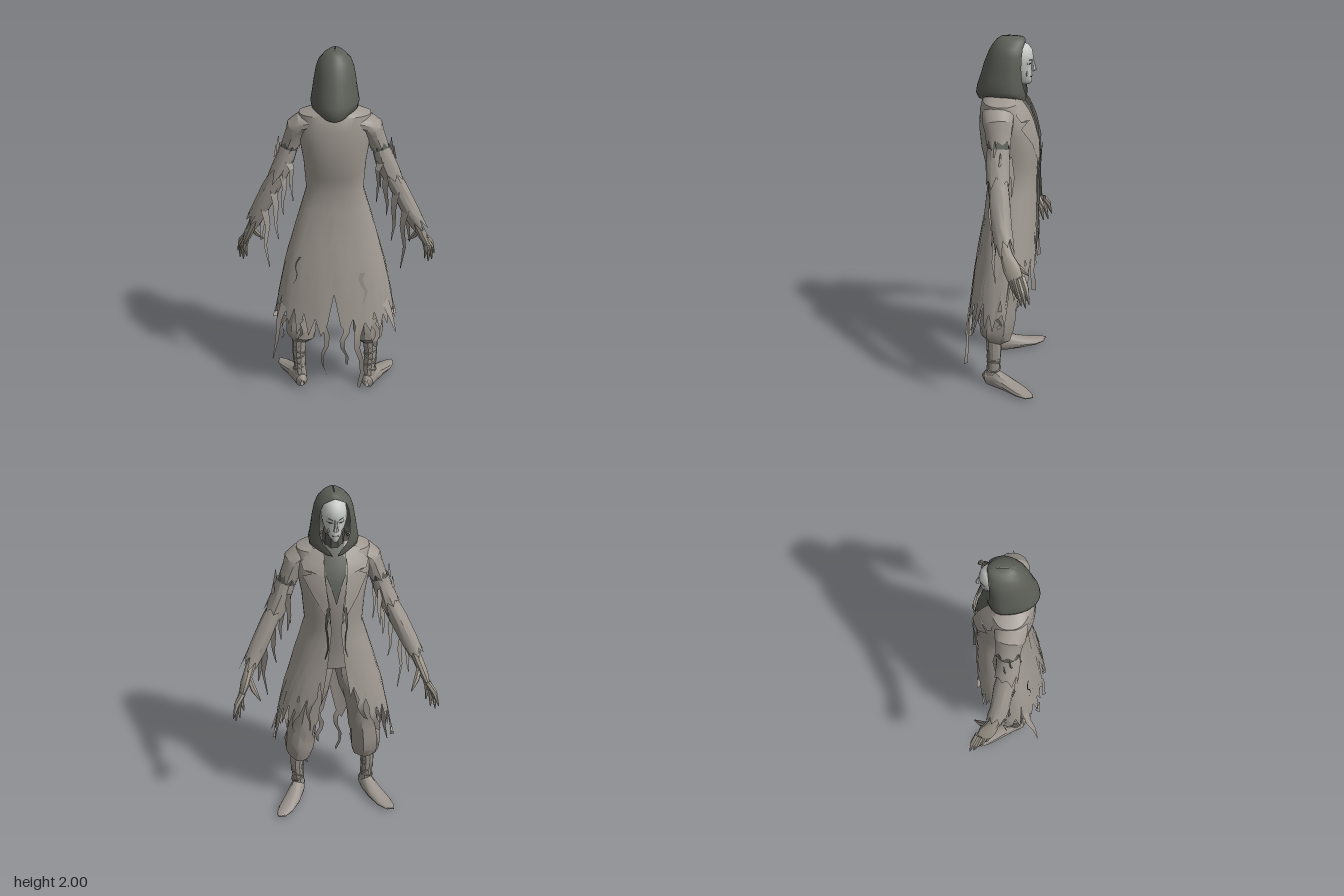
import * as THREE from 'three';
import { toCreasedNormals } from 'three/addons/utils/BufferGeometryUtils.js';

const V = (x, y, z) => new THREE.Vector3(x, y, z);
const lerp = THREE.MathUtils.lerp;

export function createModel() {
  const model = new THREE.Group();
  let seed = 11;
  const rand = () => (seed = (seed * 16807) % 2147483647) / 2147483647;

  const mat = (name, color) => {
    const m = new THREE.MeshStandardMaterial({ color, side: THREE.DoubleSide });
    m.name = name;
    return m;
  };
  const coatCloth = mat('coat cloth', 0x9f9891);
  const trouserCloth = mat('trouser cloth', 0x99928b);
  const skin = mat('weathered skin', 0x9d968b);
  const hoodCloth = mat('hood cloth', 0x5c5e57);
  const mask = mat('pale face', 0xc6c9c5);
  const maskShade = mat('grey face paint', 0x9da09d);
  const dark = mat('dark lining', 0x4a4a45);
  const shirtCloth = mat('shirt cloth', 0x8f8983);

  const add = (name, geo, material, parent = model) => {
    const m = new THREE.Mesh(geo, material);
    m.name = name;
    parent.add(m);
    return m;
  };

  // Skin a grid of points: rows of equal length, optionally closed round
  function grid(rows, closed = false, crease = 0.5) {
    const n = rows[0].length, idx = [];
    for (let j = 0; j < rows.length - 1; j++)
      for (let i = 0; i < (closed ? n : n - 1); i++) {
        const a = j * n + i, b = j * n + (i + 1) % n;
        idx.push(a, b, a + n, b, b + n, a + n);
      }
    const g = new THREE.BufferGeometry().setFromPoints(rows.flat());
    g.setIndex(idx);
    return toCreasedNormals(g, crease);
  }

  // Tube through stations [x, y, z, radiusA, radiusB]; ragged = torn end, folds = uneven cloth
  function limb(st, { sides = 10, ref = V(0, 0, 1), ragged = 0, folds = 0 } = {}) {
    const rows = st.map((s, j) => {
      const p = st[Math.max(j - 1, 0)], q = st[Math.min(j + 1, st.length - 1)];
      const t = V(q[0] - p[0], q[1] - p[1], q[2] - p[2]).normalize();
      const u = ref.clone().cross(t).normalize(), v = t.clone().cross(u);
      return Array.from({ length: sides }, (_, i) => {
        const a = i / sides * Math.PI * 2, k = 1 + folds * (rand() - 0.5);
        const pt = V(s[0], s[1], s[2]).addScaledVector(u, s[3] * k * Math.cos(a)).addScaledVector(v, s[4] * k * Math.sin(a));
        if (ragged && j === st.length - 1) pt.addScaledVector(t, ragged * (i % 2 ? rand() : -0.5 * rand()));
        pt.y = Math.max(pt.y, 0);
        return pt;
      });
    });
    return grid(rows, true);
  }

  // Free-hanging ribbon that tapers to a point
  function ribbon(pts, w, dir = V(0.8, 0, 0.6)) {
    return grid(pts.map((p, k) => {
      const h = w * (1 - 0.9 * k / (pts.length - 1));
      return [-h, h].map(s => V(...p).addScaledVector(dir, s));
    }));
  }

  // Coat section by height: y, half width, back z, front depth, front opening
  const PROFILE = [
    [1.71, 0.09, 0.09, 0.06, 0.05], [1.67, 0.19, 0.115, 0.1, 0.055], [1.6, 0.2, 0.13, 0.14, 0.055],
    [1.5, 0.185, 0.133, 0.178, 0.05], [1.4, 0.168, 0.124, 0.188, 0.035], [1.235, 0.155, 0.085, 0.178, 0.025],
    [1, 0.222, 0.11, 0.185, 0.05], [0.8, 0.278, 0.145, 0.195, 0.08], [0.6, 0.318, 0.175, 0.198, 0.1],
    [0.4, 0.345, 0.2, 0.195, 0.12], [0, 0.37, 0.225, 0.19, 0.12]];
  function section(y) {
    let i = 0;
    while (i < PROFILE.length - 2 && y < PROFILE[i + 1][0]) i++;
    const a = PROFILE[i], b = PROFILE[i + 1], t = (y - a[0]) / (b[0] - a[0]);
    return a.map((v, k) => lerp(v, b[k], t));
  }
  // Angle 0 is the middle of the back, PI the middle of the front
  function onCoat(th, y, off = 0) {
    const [, w, zb, zf] = section(y), c = Math.cos(th), e = Math.pow(Math.abs(c), 0.8);
    return V((w + off) * Math.sin(th), y, c > 0 ? (zb + off) * e : -(zf + off) * e);
  }
  const edge = y => { const s = section(y); return Math.PI - Math.asin(s[4] / s[1]); };

  // Long coat with split back and torn hem that rises towards the front
  const N = 52, waist = 1.235;
  const hem = Array.from({ length: N + 1 }, (_, i) => {
    const d = Math.abs(i - N / 2), f = d / (N / 2);
    if (d < 3) return [0.66, 0.48, 0.41][d];
    const base = f < 0.3 ? 0.46 : f < 0.62 ? 0.49 : lerp(0.57, 0.84, (f - 0.62) / 0.38);
    return base + (i % 2 ? 0.09 : -0.07) * (0.3 + rand());
  });
  const coatRows = [1.71, 1.67, 1.6, 1.5, 1.4, 1.32].map(y => hem.map((_, i) => onCoat((i / N * 2 - 1) * edge(y), y)));
  for (let k = 0; k <= 7; k++)
    coatRows.push(hem.map((h, i) => {
      const y = lerp(waist, h, k / 7);
      return onCoat((i / N * 2 - 1) * edge(y), y, k > 1 ? 0.004 * (rand() - 0.5) : 0);
    }));
  add('coat', grid(coatRows), coatCloth);

  // Torn strips that follow the coat surface, twisting towards the tip
  const strip = (th, y0, y1, w, off = 0.005, twist = 0) => grid(Array.from({ length: 6 }, (_, k) => {
    const y = lerp(y0, y1, k / 5), h = w * (1 - 0.16 * k) / section(y)[1], c = th + 0.05 * Math.sin(k * 1.6 + th * 5);
    return [onCoat(c - h, y, off - twist * k / 5), onCoat(c + h, y, off + twist * k / 5)];
  }));
  [[-1.0, 0.5, 0.36, 0.025], [-0.15, 0.48, 0.17, 0.018], [0.17, 0.48, 0.24, 0.02], [0.42, 0.5, 0.09, 0.024],
    [0.75, 0.5, 0.33, 0.022], [-0.6, 0.5, 0.36, 0.025], [2.3, 0.78, 0.58, 0.032], [-2.35, 0.78, 0.56, 0.032],
    [2.62, 0.88, 0.6, 0.028], [-2.62, 0.88, 0.66, 0.028], [-1.6, 0.55, 0.42, 0.025], [1.6, 0.55, 0.45, 0.025]]
    .forEach(s => add('coatTatter', strip(...s, 0, 0.012), coatCloth));
  // Side tails swinging clear of the hem
  add('coatTail', ribbon([[-0.275, 0.58, 0.095], [-0.31, 0.47, 0.12], [-0.322, 0.36, 0.155], [-0.345, 0.25, 0.175]], 0.026), coatCloth);
  add('coatTail', ribbon([[0.275, 0.6, 0.09], [0.305, 0.53, 0.105], [0.325, 0.47, 0.115], [0.345, 0.41, 0.13]], 0.028, V(0.8, 0, -0.6)), coatCloth);

  // Rips in the skirt of the coat
  add('coatRip', strip(-0.82, 0.86, 0.7, 0.009), dark);
  add('coatRip', strip(0.56, 0.78, 0.6, 0.017), shirtCloth);

  // Shirt, seen through the open front
  add('shirt', grid([1.7, 1.66, 1.6, 1.5, 1.4, 1.24, 1.1, 0.98].map(y => Array.from({ length: 24 }, (_, i) =>
    onCoat(i / 12 * Math.PI, y, y > 1.2 ? -0.015 : -0.05))), true), shirtCloth);
  // Scarf tapering down the chest
  add('scarf', grid([[1.7, 0.9], [1.6, 0.36], [1.52, 0.18], [1.45, 0.07], [1.41, 0.01]].map(([y, w]) =>
    [-1, -0.5, 0, 0.5, 1].map(f => onCoat(Math.PI + f * w, y, -0.006)))), hoodCloth);

  for (const s of [1, -1]) {
    const side = new THREE.Group();
    side.name = s > 0 ? 'leftSide' : 'rightSide';
    side.scale.x = s;
    model.add(side);

    // Notched lapel and a loose strip from it
    add('lapel', grid([[1.69, 0.45], [1.62, 0.72], [1.585, 0.62], [1.575, 0.36], [1.55, 0.7], [1.45, 0.42], [1.3, 0.02]]
      .map(([y, w]) => [0, 0.5, 1].map(f => onCoat(edge(y) - f * w, y, 0.012)))), coatCloth, side);
    add('lapelTatter', strip(2.86, 1.4, 1.08, 0.009, 0.014, 0.008), hoodCloth, side);

    // Arm and torn sleeve layers
    add('arm', limb([[0.195, 1.58, 0.01, 0.045, 0.06], [0.232, 1.5, 0, 0.043, 0.055], [0.272, 1.38, 0, 0.044, 0.052],
      [0.33, 1.26, -0.01, 0.043, 0.048], [0.4, 1.11, -0.035, 0.04, 0.044], [0.45, 1, -0.06, 0.03, 0.032]]), skin, side);
    add('sleeveLining', limb([[0.222, 1.53, 0.002, 0.046, 0.058], [0.25, 1.45, 0, 0.046, 0.057]]), hoodCloth, side);
    add('shoulderSleeve', limb([[0.11, 1.625, 0.015, 0.045, 0.085], [0.172, 1.612, 0.012, 0.056, 0.084],
      [0.2, 1.585, 0.008, 0.06, 0.08], [0.212, 1.55, 0.004, 0.052, 0.072], [0.234, 1.49, 0, 0.05, 0.063]],
      { sides: 14, ragged: 0.04 }), coatCloth, side);
    add('upperSleeve', limb([[0.247, 1.47, 0, 0.05, 0.06], [0.268, 1.4, 0, 0.053, 0.063], [0.305, 1.31, -0.005, 0.054, 0.062]],
      { sides: 14, ragged: 0.07, folds: 0.12 }), coatCloth, side);
    add('forearmSleeve', limb([[0.3, 1.32, -0.005, 0.045, 0.05], [0.35, 1.22, -0.02, 0.047, 0.054], [0.41, 1.09, -0.04, 0.046, 0.052],
      [0.45, 1.01, -0.06, 0.044, 0.05]], { sides: 14, ragged: 0.08, folds: 0.12 }), coatCloth, side);
    [[[0.25, 1.42, 0.045], [0.23, 1.36, 0.06], [0.235, 1.28, 0.05], [0.225, 1.17, 0.05]],
      [[0.28, 1.34, 0.03], [0.27, 1.25, 0.04], [0.285, 1.15, 0.03], [0.28, 1.08, 0.03]],
      [[0.33, 1.22, 0.02], [0.32, 1.12, 0.03], [0.325, 1.02, 0.02], [0.31, 0.93, 0.03]],
      [[0.385, 1.1, 0], [0.37, 1, 0], [0.385, 0.88, 0.01], [0.365, 0.74, 0]],
      [[0.41, 1.06, -0.06], [0.405, 0.97, -0.07], [0.415, 0.88, -0.06]],
      [[0.27, 1.44, 0.02], [0.305, 1.445, 0.01], [0.3, 1.53, 0.01]],
      [[0.285, 1.4, -0.02], [0.32, 1.4, -0.02], [0.315, 1.47, -0.02]],
      [[0.25, 1.42, -0.055], [0.24, 1.3, -0.075], [0.25, 1.2, -0.07]]]
      .forEach(p => add('sleeveTatter', ribbon(p, 0.024), coatCloth, side));

    // Hand with bent, bony fingers
    add('palm', limb([[0.445, 1.01, -0.058, 0.028, 0.03], [0.465, 0.96, -0.075, 0.027, 0.035],
      [0.49, 0.9, -0.105, 0.025, 0.048], [0.508, 0.855, -0.125, 0.016, 0.042]]), skin, side);
    [[[0.505, 0.87, -0.16], [0.54, 0.82, -0.185], [0.565, 0.74, -0.205]],
      [[0.51, 0.86, -0.14], [0.542, 0.8, -0.165], [0.55, 0.71, -0.185]],
      [[0.508, 0.86, -0.118], [0.53, 0.8, -0.14], [0.528, 0.71, -0.16]],
      [[0.5, 0.87, -0.098], [0.515, 0.81, -0.115], [0.505, 0.74, -0.135]],
      [[0.47, 0.94, -0.1], [0.445, 0.88, -0.145], [0.412, 0.83, -0.182]]]
      .forEach(([a, b, c]) => add('finger', limb([[...a, 0.016, 0.016], [...b, 0.016, 0.016], [...c, 0.003, 0.003]], { sides: 6 }), skin, side));

    // Baggy trouser leg gathered at the shin
    add('trouserLeg', limb([[0.06, 1.08, -0.02, 0.07, 0.09], [0.095, 0.95, -0.025, 0.095, 0.11], [0.125, 0.82, -0.025, 0.095, 0.108],
      [0.15, 0.7, -0.02, 0.088, 0.1], [0.165, 0.6, -0.01, 0.08, 0.092], [0.178, 0.52, 0, 0.082, 0.094], [0.186, 0.45, 0.008, 0.086, 0.098],
      [0.188, 0.38, 0.015, 0.088, 0.103], [0.195, 0.32, 0.025, 0.074, 0.084], [0.2, 0.29, 0.033, 0.042, 0.046]],
      { sides: 14, folds: 0.2 }), trouserCloth, side);

    // Bound shin
    add('shin', limb([[0.2, 0.34, 0.035, 0.044, 0.046], [0.207, 0.22, 0.032, 0.037, 0.041], [0.2, 0.12, 0.038, 0.033, 0.037],
      [0.197, 0.05, 0.045, 0.036, 0.042]]), trouserCloth, side);
    for (let k = 0; k < 5; k++) {
      const wrap = add('shinWrap', new THREE.TorusGeometry(0.037, 0.005, 5, 14), trouserCloth, side);
      wrap.position.set(0.204, 0.12 + k * 0.037, 0.035);
      wrap.rotation.set(Math.PI / 2, k % 2 ? 0.4 : -0.4, 0);
    }
    // Pointed shoe turned outward
    add('shoe', limb([[0.184, 0.035, 0.093, 0.012, 0.025], [0.19, 0.045, 0.075, 0.034, 0.045], [0.207, 0.05, 0.02, 0.042, 0.055],
      [0.243, 0.034, -0.06, 0.048, 0.035], [0.285, 0.022, -0.13, 0.046, 0.022], [0.318, 0.018, -0.18, 0.03, 0.012],
      [0.335, 0.024, -0.204, 0.003, 0.003]], { sides: 12, ref: V(0, 1, 0) }), trouserCloth, side);

    // Eye, its grey socket, brow and hollow cheek: thin plates lying on the face
    for (const [name, m, x, y, z, a, b, tilt] of [
      ['eyeSocket', maskShade, 0.029, 1.864, -0.13, 0.018, 0.01, 0.1], ['eye', dark, 0.028, 1.862, -0.132, 0.012, 0.004, 0.1],
      ['brow', hoodCloth, 0.028, 1.882, -0.137, 0.016, 0.003, 0.25], ['cheekHollow', maskShade, 0.033, 1.815, -0.121, 0.006, 0.022, 0.35]]) {
      const plate = add(name, new THREE.SphereGeometry(1, 10, 6), m, side);
      plate.scale.set(a, b, 0.004);
      plate.position.set(x, y, z);
      plate.rotation.set(0, -0.55, tilt, 'YXZ');
    }
  }

  // Hood: y, half width, back z, how far it wraps forward, front depth; the hem dips front and back
  add('hood', grid([[1.658, 0.1, 0.14, 3.0, 0.085], [1.69, 0.125, 0.153, 2.9, 0.088], [1.73, 0.13, 0.147, 2.65, 0.09],
    [1.78, 0.121, 0.13, 2.45, 0.09], [1.85, 0.111, 0.11, 2.35, 0.092], [1.91, 0.1, 0.087, 2.35, 0.095], [1.95, 0.085, 0.066, 2.4, 0.095],
    [1.978, 0.06, 0.044, Math.PI, 0.078], [1.993, 0.035, 0.025, Math.PI, 0.07], [2, 0.002, 0, Math.PI, 0.04]]
    .map(([y, w, zb, m, zf], j) => Array.from({ length: 29 }, (_, i) => {
      const th = (i / 14 - 1) * m, c = Math.cos(th);
      return V(w * Math.sin(th), y + (j < 2 ? [0.035, 0.012][j] * (1 - c * c) : 0), -0.03 + c * (c > 0 ? zb + 0.03 : zf));
    })), false, 1.2), hoodCloth);
  add('neck', limb([[0, 1.62, 0, 0.06, 0.06], [0, 1.78, -0.04, 0.055, 0.055]]), hoodCloth);

  // Head: y, half width, front depth
  add('face', grid([[1.742, 0.01, 0.125], [1.75, 0.022, 0.138], [1.77, 0.035, 0.143], [1.8, 0.048, 0.142], [1.83, 0.059, 0.14],
    [1.862, 0.065, 0.141], [1.89, 0.067, 0.15], [1.93, 0.06, 0.143], [1.955, 0.045, 0.124], [1.968, 0.015, 0.09]]
    .map(([y, w, z]) => Array.from({ length: 20 }, (_, i) => {
      const a = i / 10 * Math.PI;
      return V(w * Math.sin(a), y, -0.06 - (z - 0.06) * Math.cos(a));
    })), true, 1), mask);
  add('nose', limb([[0, 1.885, -0.142, 0.006, 0.006], [0, 1.845, -0.15, 0.009, 0.012], [0, 1.825, -0.153, 0.013, 0.015],
    [0, 1.815, -0.143, 0.004, 0.006]], { sides: 8 }), mask);
  add('mouth', new THREE.BoxGeometry(0.03, 0.003, 0.008), dark).position.set(0, 1.788, -0.139);

  return model;
}
